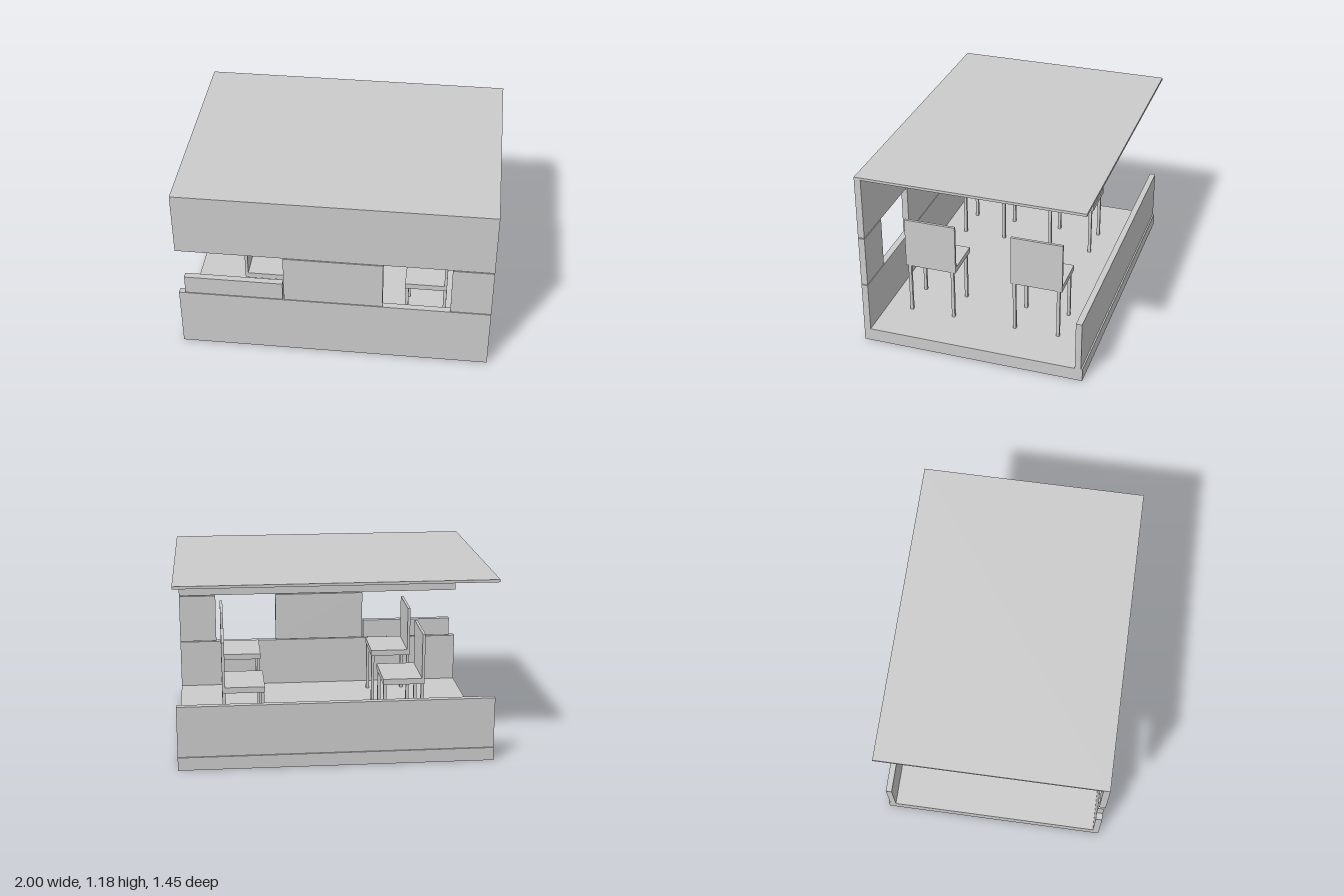
import * as THREE from 'three';

const material = new THREE.MeshStandardMaterial({ color: 0xcccccc, flatShading: true });

// Box given by its extents along each axis
function slab(name, [x0, x1], [y0, y1], [z0, z1]) {
  const mesh = new THREE.Mesh(new THREE.BoxGeometry(x1 - x0, y1 - y0, z1 - z0), material);
  mesh.name = name;
  mesh.position.set((x0 + x1) / 2, (y0 + y1) / 2, (z0 + z1) / 2);
  return mesh;
}

// Chair: seat reaches from the backrest towards dir (+1 or -1 along x)
function chair(name, backX, dir, z) {
  const group = new THREE.Group();
  group.name = name;
  const span = (a, b) => [Math.min(dir * a, dir * b), Math.max(dir * a, dir * b)];
  const depth = 0.27, half = 0.169, leg = 0.02;
  group.add(slab('seat', span(0.018, depth), [0.425, 0.463], [-half, half]));
  group.add(slab('backrest', span(0, 0.018), [0.425, 0.76], [-half, half]));
  for (const a of [0.001, depth - leg - 0.004]) {
    for (const side of [-1, 1]) {
      const c = side * 0.145;
      group.add(slab('leg', span(a, a + leg), [0.085, 0.425], [c - leg / 2, c + leg / 2]));
    }
  }
  group.position.set(backX, 0, z);
  return group;
}

export function createModel() {
  const model = new THREE.Group();
  model.name = 'pavilion';
  const full = [-1, 1], deep = [-0.725, 0.725], front = [0.683, 0.725];

  // Floor and roof
  model.add(slab('floor', full, [0, 0.085], deep));
  model.add(slab('roof', full, [1.168, 1.185], deep));

  // Front wall: lower and upper bands with window panels between them
  model.add(slab('frontLowerWall', full, [0.085, 0.416], front));
  model.add(slab('frontUpperWall', full, [0.761, 1.168], front));
  model.add(slab('frontMiddlePanel', [-0.318, 0.312], [0.421, 0.755], front));
  model.add(slab('frontEndPanel', [0.742, 1], [0.421, 0.755], front));
  model.add(slab('frontLowPanel', [-0.957, -0.326], [0.421, 0.548], front));

  // Low back wall
  model.add(slab('backWall', full, [0.085, 0.416], [-0.715, -0.676]));

  // Two pairs of chairs facing each other
  model.add(chair('leftBackChair', 0.712, -1, -0.337));
  model.add(chair('leftFrontChair', 0.712, -1, 0.37));
  model.add(chair('rightBackChair', -0.596, 1, -0.26));
  model.add(chair('rightFrontChair', -0.596, 1, 0.373));
  return model;
}
